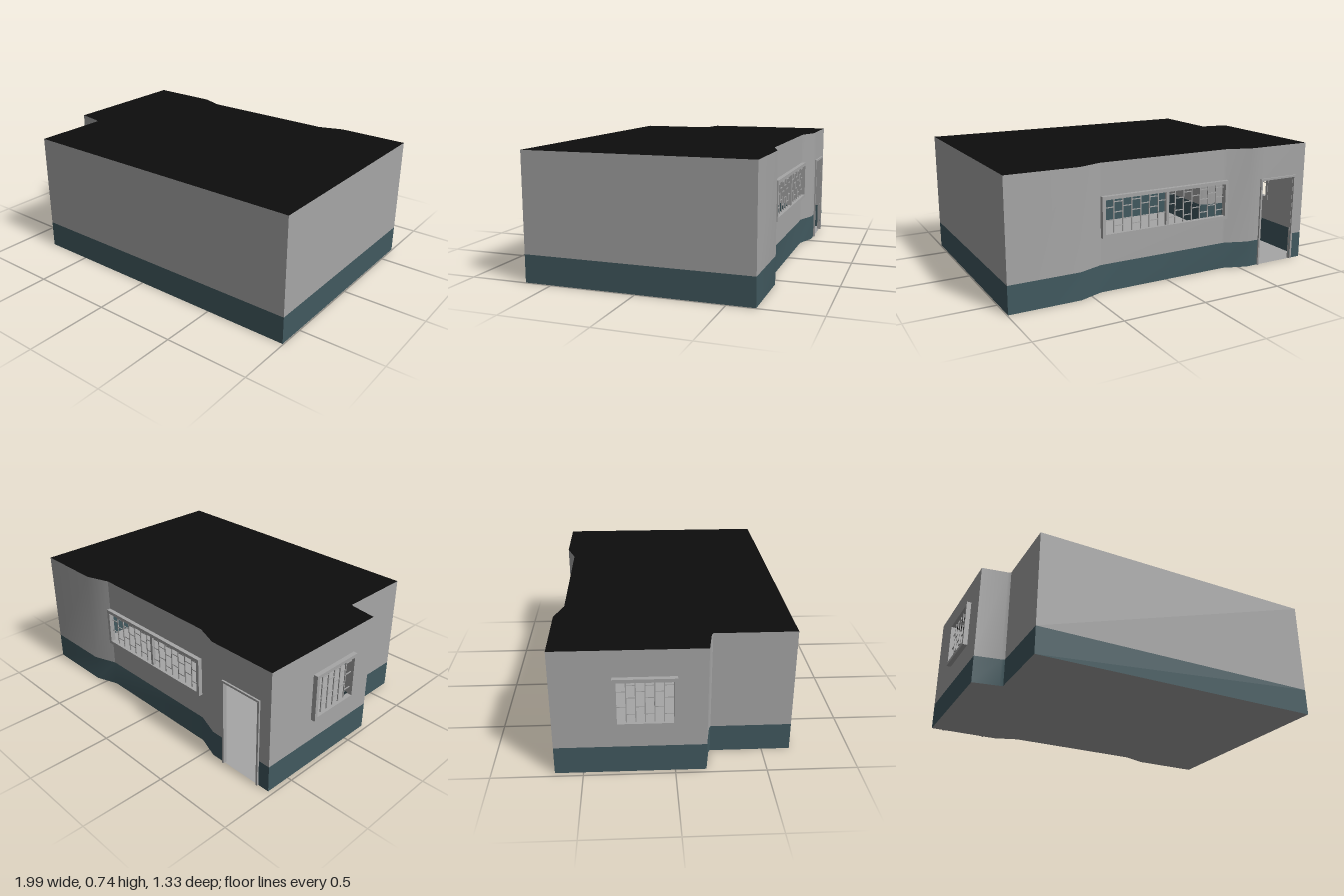
import * as THREE from 'three';
import { mergeGeometries, toCreasedNormals } from 'three/addons/utils/BufferGeometryUtils.js';

const mat = (name, color) => {
  const m = new THREE.MeshStandardMaterial({ color, side: THREE.DoubleSide });
  m.name = name;
  return m;
};

// footprint (x, z), walked so that each wall's outer side lies on its right
const plan = [
  [-0.8, 0.66], [0.995, 0.66], [0.995, -0.655], [0.575, -0.655], [0.43, -0.605],
  [-0.41, -0.605], [-0.55, -0.655], [-0.972, -0.655], [-0.972, 0.17], [-0.82, 0.195], [-0.8, 0.205],
];
const HEIGHT = 0.74, BAND = 0.162;

// openings per wall index: distance along the wall, then height range
const openings = {
  4: [0.02, 0.82, 0.34, 0.535],
  6: [0.09, 0.336, 0, 0.533],
  7: [0.345, 0.645, 0.32, 0.565],
};

export function createModel() {
  const model = new THREE.Group();
  model.name = 'room';
  const grey = mat('plaster grey', 0xa6a6a6);
  const teal = mat('dark teal', 0x41595f);
  const black = mat('roof black', 0x0d0d0d);

  const add = (parent, name, geometry, material) => {
    const mesh = new THREE.Mesh(geometry, material);
    mesh.name = name;
    parent.add(mesh);
    return mesh;
  };

  // a horizontal strip of all walls between two heights, leaving openings free
  const wallStrip = (y0, y1) => {
    const parts = [];
    plan.forEach(([ax, az], i) => {
      const [bx, bz] = plan[(i + 1) % plan.length];
      const length = Math.hypot(bx - ax, bz - az);
      const angle = Math.atan2(-(bz - az), bx - ax);
      const rect = (u0, u1, v0, v1) => {
        if (u1 - u0 < 1e-4 || v1 - v0 < 1e-4) return;
        const g = new THREE.PlaneGeometry(u1 - u0, v1 - v0);
        g.translate((u0 + u1) / 2, (v0 + v1) / 2, 0);
        g.rotateY(angle);
        g.translate(ax, 0, az);
        parts.push(g);
      };
      const o = openings[i];
      if (!o || o[2] >= y1 || o[3] <= y0) {
        rect(0, length, y0, y1);
        return;
      }
      rect(0, o[0], y0, y1);
      rect(o[1], length, y0, y1);
      rect(o[0], o[1], y0, Math.max(y0, o[2]));
      rect(o[0], o[1], Math.min(y1, o[3]), y1);
    });
    return toCreasedNormals(mergeGeometries(parts), 0.5);
  };
  add(model, 'upperWalls', wallStrip(BAND, HEIGHT), grey);
  add(model, 'lowerWallBand', wallStrip(0, BAND), teal);

  // floor and roof share the footprint
  const slab = () => {
    const shape = new THREE.Shape(plan.map(([x, z]) => new THREE.Vector2(x, -z)));
    return new THREE.ShapeGeometry(shape).rotateX(-Math.PI / 2);
  };
  add(model, 'floor', slab(), grey);
  add(model, 'roof', slab(), black).position.y = HEIGHT;

  const bar = (parent, name, w, h, d, x, y, z) =>
    add(parent, name, new THREE.BoxGeometry(w, h, d), grey).position.set(x, y, z);

  // window: projecting frame with a lattice of staggered cross bars
  const makeWindow = (name, w, h, columns, mullion) => {
    const g = new THREE.Group();
    g.name = name;
    const t = 0.02, d = 0.03, z = 0.01;
    for (const s of [-1, 1]) {
      bar(g, 'frameSide', t, h, d, s * (w - t) / 2, 0, z);
      bar(g, 'frameRail', w - 2 * t, t, d, 0, s * (h - t) / 2, z);
    }
    const iw = w - 2 * t, ih = h - 2 * t, step = iw / columns;
    for (let i = 0; i < columns; i++) {
      const x = -iw / 2 + step * (i + 0.5);
      if (i > 0) bar(g, 'verticalBar', 0.006, ih, 0.006, x - step / 2, 0, 0.005);
      const rows = i % 2 ? [-0.3, 0.1, 0.4] : [-0.12, 0.25];
      for (const r of rows) bar(g, 'crossBar', step, 0.005, 0.005, x, r * ih, 0.005);
    }
    if (mullion) bar(g, 'mullion', 0.018, ih, 0.02, 0, 0, 0.008);
    model.add(g);
    return g;
  };
  const backWindow = makeWindow('backWindow', 0.84, 0.235, 14, true);
  backWindow.position.set(0.01, 0.4375, -0.605);
  backWindow.rotation.y = Math.PI;
  const sideWindow = makeWindow('sideWindow', 0.34, 0.285, 6, false);
  sideWindow.position.set(-0.974, 0.4425, -0.16);
  sideWindow.rotation.y = -Math.PI / 2;

  // open doorway with a slim frame
  const door = new THREE.Group();
  door.name = 'doorFrame';
  for (const s of [-1, 1]) bar(door, 'jamb', 0.012, 0.545, 0.025, s * 0.129, 0.2725, 0);
  bar(door, 'lintel', 0.246, 0.012, 0.025, 0, 0.539, 0);
  door.position.set(-0.765, 0, -0.653);
  model.add(door);

  return model;
}
